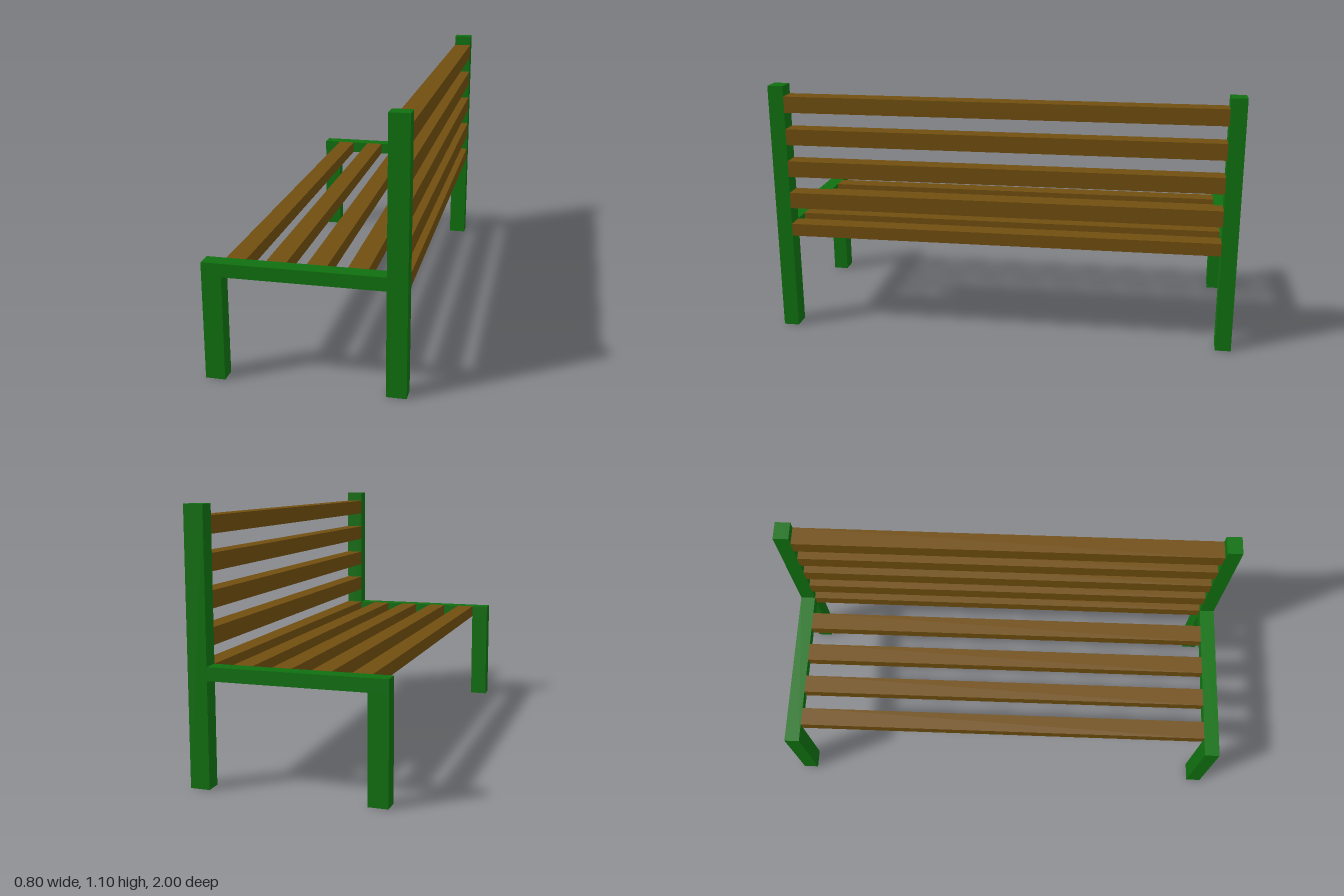
import * as THREE from 'three';

const green = new THREE.MeshStandardMaterial({ color: 0x107010 });
green.name = 'green paint';
const brown = new THREE.MeshStandardMaterial({ color: 0x704e0e });
brown.name = 'brown wood';

// Box given by its lower and upper corners
function bar(name, material, [x0, y0, z0], [x1, y1, z1]) {
  const mesh = new THREE.Mesh(new THREE.BoxGeometry(x1 - x0, y1 - y0, z1 - z0), material);
  mesh.position.set((x0 + x1) / 2, (y0 + y1) / 2, (z0 + z1) / 2);
  mesh.name = name;
  return mesh;
}

export function createModel() {
  const bench = new THREE.Group();
  bench.name = 'bench';

  const end = 0.933;       // inner face of the end frames
  const seatLow = 0.43, seatTop = 0.485;

  // End frames: short leg, tall back post and the rail joining them
  for (const side of [-1, 1]) {
    const z0 = side > 0 ? end : -1;
    const z1 = side > 0 ? 1 : -end;
    const frame = new THREE.Group();
    frame.name = side > 0 ? 'frontEndFrame' : 'rearEndFrame';
    frame.add(
      bar('shortLeg', green, [-0.4, 0, z0], [-0.32, seatLow, z1]),
      bar('backPost', green, [0.32, 0, z0], [0.4, 1.1, z1]),
      bar('seatRail', green, [-0.4, seatLow, z0], [0.32, seatTop, z1]),
    );
    bench.add(frame);
  }

  // Seat slats, the last one lying under the backrest
  for (let i = 0; i < 5; i++) {
    const x = -0.28 + i * 0.16;
    bench.add(bar('seatSlat', brown, [x - 0.04, seatLow, -end], [x + 0.04, seatTop, end]));
  }

  // Backrest slats between the tall posts
  for (let i = 0; i < 4; i++) {
    const y = 0.593 + i * 0.1425;
    bench.add(bar('backSlat', brown, [0.32, y - 0.035, -end], [0.4, y + 0.035, end]));
  }

  return bench;
}
